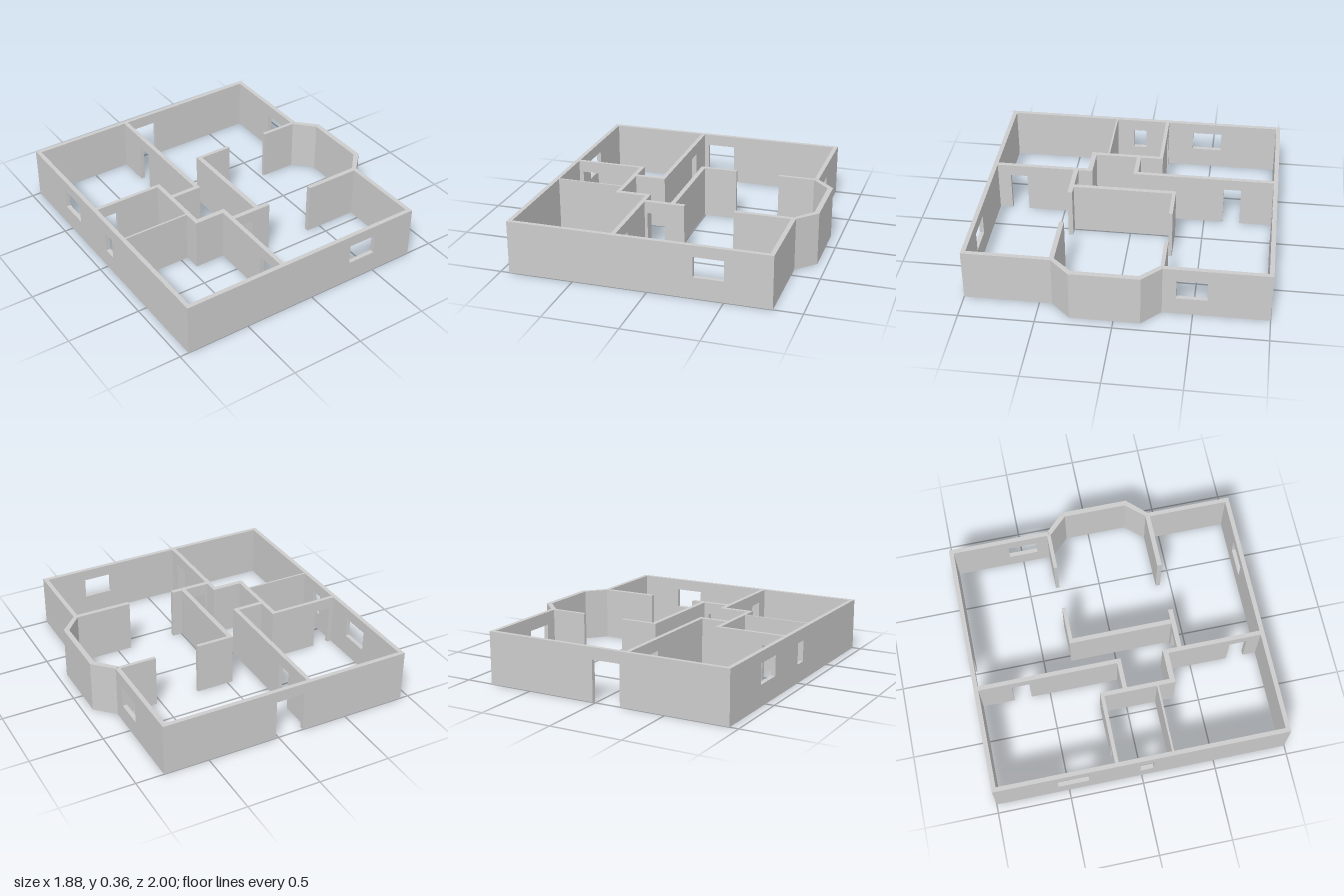
import * as THREE from 'three';

const H = 0.36;
const DOOR = 0.28;

export function createModel() {
  const model = new THREE.Group();
  model.name = 'floorPlan';
  const mat = new THREE.MeshStandardMaterial({ color: 0xcccccc, flatShading: true });

  const add = (name, geo) => {
    const mesh = new THREE.Mesh(geo, mat);
    mesh.name = name;
    model.add(mesh);
  };

  // Wall running from a to b along an axis, between c0 and c1 across it.
  // doors: [from, to] open to the floor; windows: [from, to, bottom, top]
  function wall(name, axis, a, b, c0, c1, { doors = [], windows = [] } = {}) {
    const shape = new THREE.Shape();
    shape.moveTo(a, 0);
    for (const [d0, d1] of doors) {
      shape.lineTo(d0, 0);
      shape.lineTo(d0, DOOR);
      shape.lineTo(d1, DOOR);
      shape.lineTo(d1, 0);
    }
    shape.lineTo(b, 0);
    shape.lineTo(b, H);
    shape.lineTo(a, H);
    shape.closePath();
    for (const [w0, w1, y0, y1] of windows) {
      const hole = new THREE.Path();
      hole.moveTo(w0, y0);
      hole.lineTo(w0, y1);
      hole.lineTo(w1, y1);
      hole.lineTo(w1, y0);
      hole.closePath();
      shape.holes.push(hole);
    }
    const geo = new THREE.ExtrudeGeometry(shape, { depth: c1 - c0, bevelEnabled: false });
    if (axis === 'x') geo.translate(0, 0, c0);
    else geo.rotateY(-Math.PI / 2).translate(c1, 0, 0);
    add(name, geo);
  }

  // Outer walls
  wall('backWall', 'x', -0.94, 0.81, -1, -0.97, { doors: [[-0.18, 0.02]] });
  wall('frontWall', 'x', -0.94, 0.81, 0.97, 1, { windows: [[0.3, 0.5, 0.145, 0.283]] });
  wall('sideWall', 'z', -0.97, 0.97, -0.94, -0.91, {
    windows: [[-0.57, -0.36, 0.145, 0.283], [-0.01, 0.08, 0.13, 0.275]],
  });
  wall('bayWallBack', 'z', -0.97, -0.3, 0.78, 0.81, { windows: [[-0.59, -0.39, 0.126, 0.27]] });
  wall('bayWallFront', 'z', 0.41, 0.97, 0.78, 0.81);

  // Angled bay
  const bay = new THREE.Shape([
    [0.81, -0.3], [0.935, -0.175], [0.935, 0.285], [0.81, 0.415],
    [0.78, 0.405], [0.9, 0.27], [0.9, -0.16], [0.78, -0.285],
  ].map(([x, z]) => new THREE.Vector2(x, -z)));
  add('bay', new THREE.ExtrudeGeometry(bay, { depth: H, bevelEnabled: false }).rotateX(-Math.PI / 2));

  // Long inner walls beside the two end rooms
  wall('backRoomWall', 'z', -0.97, 0.005, -0.24, -0.21, { doors: [[-0.75, -0.63]] });
  wall('frontRoomWall', 'z', 0.295, 0.97, -0.24, -0.21, { doors: [[0.76, 0.88]] });

  // Small middle room and its alcove
  wall('middleRoomBackWall', 'x', -0.91, -0.42, -0.18, -0.155, { doors: [[-0.88, -0.765]] });
  wall('middleRoomFrontWall', 'x', -0.91, -0.45, 0.203, 0.216);
  wall('middleRoomEndWall', 'z', -0.155, 0.33, -0.45, -0.42);
  wall('alcoveBackWall', 'x', -0.42, -0.24, -0.025, 0.005);
  wall('alcoveFrontWall', 'x', -0.42, -0.24, 0.295, 0.33);

  // Large room partitions
  wall('hallWall', 'z', -0.285, 0.395, -0.037, -0.005);
  wall('backPartitionShort', 'x', -0.037, 0.225, -0.31, -0.285);
  wall('backPartitionBay', 'x', 0.53, 0.79, -0.31, -0.285);
  wall('frontPartitionShort', 'x', -0.21, 0.065, 0.395, 0.427, { doors: [[-0.19, -0.07]] });
  wall('frontPartitionBay', 'x', 0.4, 0.79, 0.395, 0.427);

  return model;
}
